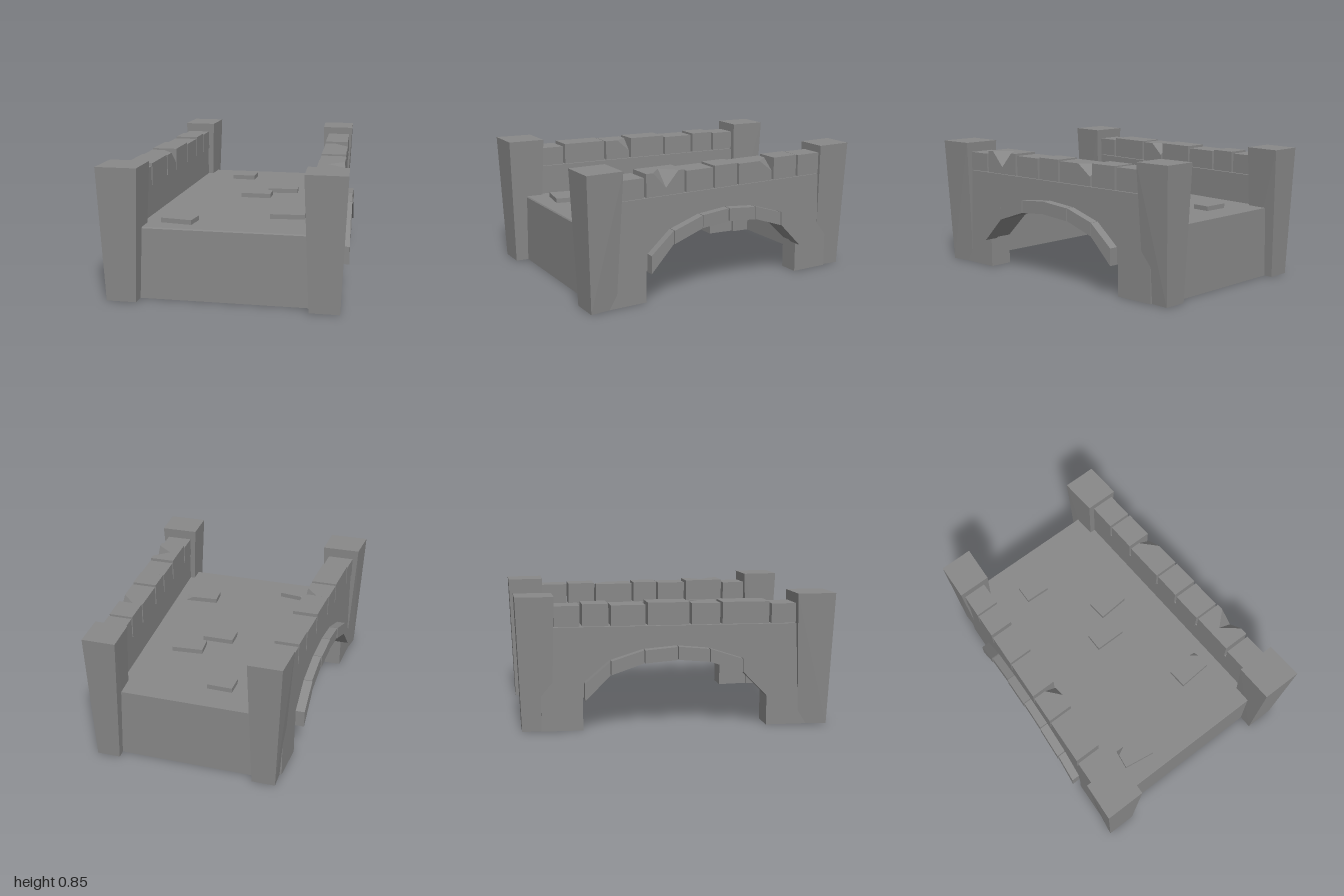
import * as THREE from 'three';
import { ConvexGeometry } from 'three/addons/geometries/ConvexGeometry.js';

const stone = new THREE.MeshStandardMaterial({ color: 0x888888, flatShading: true, side: THREE.DoubleSide });
const lerp = THREE.MathUtils.lerp;

// The bridge narrows towards the back: wall faces as a function of z
const innerX = (z) => 0.506 + 0.046 * z;
const outerX = (z) => 0.653 + 0.06 * z;

function addMesh(parent, name, geometry) {
  const mesh = new THREE.Mesh(geometry, stone);
  mesh.name = name;
  parent.add(mesh);
  return mesh;
}

// Removes the triangles lying flat at height y, leaving the part open below
function openBottom(geometry, y) {
  const p = geometry.attributes.position;
  const kept = [];
  for (let i = 0; i < p.count; i += 3) {
    if ([0, 1, 2].every((k) => Math.abs(p.getY(i + k) - y) < 1e-4)) continue;
    for (let k = 0; k < 3; k++) kept.push(p.getX(i + k), p.getY(i + k), p.getZ(i + k));
  }
  const open = new THREE.BufferGeometry();
  open.setAttribute('position', new THREE.Float32BufferAttribute(kept, 3));
  open.computeVertexNormals();
  return open;
}

// Block between two x-curves; an optional chip cuts one top corner off
// chip: { x: 0|1, z: 0|1, cut: [dx, dy, dz] }
function block(z0, z1, y0, y1, xa, xb, chip) {
  const points = [];
  [z0, z1].forEach((z, zi) => [xa(z), xb(z)].forEach((x, xi) => {
    points.push(new THREE.Vector3(x, y0, z));
    if (chip && chip.x === xi && chip.z === zi) {
      const [dx, dy, dz] = chip.cut;
      const zn = z + Math.sign(z1 - z0) * (zi ? -dz : dz);
      const xn = x + Math.sign(xb(z) - xa(z)) * (xi ? -dx : dx);
      points.push(new THREE.Vector3(xn, y1, z), new THREE.Vector3(x, y1 - dy, z),
        new THREE.Vector3((xi ? xb : xa)(zn), y1, zn));
    } else points.push(new THREE.Vector3(x, y1, z));
  }));
  return new ConvexGeometry(points);
}

// Road surface with front and back walls, open below and at the sides
function roadGeometry() {
  const profile = [[0, 0.884], [0.452, 0.884], [0.46, 0.879], [0.46, -0.912], [0, -0.912]];
  const position = [];
  const index = [];
  profile.forEach(([y, z], i) => {
    const w = innerX(z) + 0.03;
    position.push(-w, y, z, w, y, z);
    if (i) {
      const a = 2 * i - 2;
      index.push(a, a + 1, a + 3, a, a + 3, a + 2);
    }
  });
  const g = new THREE.BufferGeometry();
  g.setAttribute('position', new THREE.Float32BufferAttribute(position, 3));
  g.setIndex(index);
  const flat = g.toNonIndexed();
  flat.computeVertexNormals();
  return flat;
}

// Arch line as [z, lower y, upper y]
const arch = [[0.575, 0.195, 0.31], [0.41, 0.36, 0.445], [0.2, 0.43, 0.512], [0, 0.447, 0.53],
  [-0.21, 0.43, 0.512], [-0.42, 0.36, 0.447], [-0.585, 0.2, 0.31]];

// Side wall: arched outline, extruded and bent to the taper of the bridge
function wallGeometry(side) {
  const shape = new THREE.Shape();
  shape.moveTo(-0.85, 0);
  shape.lineTo(-0.58, 0);
  arch.forEach(([z, y], i) => shape.lineTo(i === 0 ? -0.58 : i === 6 ? 0.59 : -z, y + 0.006));
  shape.lineTo(0.59, 0);
  shape.lineTo(0.85, 0);
  shape.lineTo(0.85, 0.656);
  shape.lineTo(-0.85, 0.656);
  const g = new THREE.ExtrudeGeometry(shape, { depth: 1, bevelEnabled: false });
  const p = g.attributes.position;
  for (let i = 0; i < p.count; i++) {
    const z = -p.getX(i);
    const t = side > 0 ? p.getZ(i) : 1 - p.getZ(i);
    p.setXYZ(i, side * lerp(innerX(z), outerX(z), t), p.getY(i), z);
  }
  return openBottom(g, 0);
}

// Corner post flaring upwards; each level is [y, four x/z corners]
function postGeometry(side, levels) {
  const points = levels.flatMap(([y, ...corners]) =>
    corners.map(([x, z]) => new THREE.Vector3(side * x, y, z)));
  return openBottom(new ConvexGeometry(points), 0);
}
const frontPost = [
  [0, [0.535, 0.97], [0.725, 0.97], [0.695, 0.79], [0.53, 0.79]],
  [0.85, [0.503, 1], [0.762, 1], [0.745, 0.757], [0.493, 0.757]],
];
const backPost = [
  [0, [0.44, -0.97], [0.59, -0.97], [0.588, -0.785], [0.447, -0.785]],
  [0.85, [0.41, -1], [0.624, -1], [0.638, -0.762], [0.425, -0.762]],
];

// Parapet stones: joint positions along z, top heights and chipped corners
const parapets = [
  { side: 1, joints: [0.765, 0.59, 0.302, 0.09, -0.097, -0.376, -0.578, -0.77],
    tops: [0.785, 0.807, 0.795, 0.803, 0.796, 0.806, 0.802],
    chips: { 4: { x: 1, z: 1, cut: [0.09, 0.075, 0.1] } }, notched: 1 },
  { side: -1, joints: [0.765, 0.593, 0.28, 0.085, -0.19, -0.42, -0.597, -0.77],
    tops: [0.785, 0.8, 0.795, 0.803, 0.79, 0.8, 0.79],
    chips: { 2: { x: 0, z: 1, cut: [0.08, 0.08, 0.09] } }, notched: -1 },
];

function addParapet(parent, { side, joints, tops, chips, notched }) {
  const xa = (z) => side * (innerX(z) - 0.008);
  const xb = (z) => side * (outerX(z) + 0.008);
  tops.forEach((top, i) => {
    const z0 = joints[i] - 0.008;
    const z1 = joints[i + 1] + 0.008;
    if (i === notched) {
      // two halves meeting at a V-shaped notch in the outer edge
      const chip = (z) => ({ x: 1, z, cut: [0.105, 0.1, 0.09] });
      addMesh(parent, 'notchedParapetStone', block(z0, 0.443, 0.661, top, xa, xb, chip(1)));
      addMesh(parent, 'notchedParapetStone', block(0.443, z1, 0.661, top, xa, xb, chip(0)));
    } else addMesh(parent, 'parapetStone', block(z0, z1, 0.661, top, xa, xb, chips[i]));
  });
}

// Raised paving stones: x, z, width, depth, turn, chipped corner
const paving = [
  [-0.157, -0.66, 0.165, 0.118, -0.03],
  [0.197, -0.262, 0.207, 0.132, 0.08],
  [0.037, -0.077, 0.205, 0.118, 0],
  [0.335, 0.47, 0.222, 0.128, 0.07, { x: 1, z: 0, cut: [0.045, 0.025, 0.04] }],
  [-0.317, 0.703, 0.205, 0.128, -0.15, { x: 0, z: 0, cut: [0.05, 0.025, 0.035] }],
];

export function createModel() {
  const bridge = new THREE.Group();
  bridge.name = 'stoneBridge';

  addMesh(bridge, 'road', roadGeometry());

  for (const [x, z, w, d, turn, chip] of paving) {
    const g = block(-d / 2, d / 2, 0.44, 0.49, () => -w / 2, () => w / 2, chip);
    const mesh = addMesh(bridge, 'pavingStone', openBottom(g, 0.44));
    mesh.position.set(x, 0, z);
    mesh.rotation.y = turn;
  }

  for (const parapet of parapets) {
    const { side } = parapet;
    const half = new THREE.Group();
    half.name = side > 0 ? 'leftSide' : 'rightSide';
    bridge.add(half);
    addMesh(half, 'archedWall', wallGeometry(side));
    addMesh(half, 'frontPost', postGeometry(side, frontPost));
    addMesh(half, 'backPost', postGeometry(side, backPost));
    addParapet(half, parapet);

    // Arch stones standing proud of the wall
    for (let i = 0; i < arch.length - 1; i++) {
      const points = [arch[i], arch[i + 1]].flatMap(([z, low, high], end) => [low, high].flatMap((y) => {
        const zz = z + (end ? 0.003 : -0.003);
        const proud = 0.054 + (i % 2) * 0.004;
        return [-0.04, proud].map((dx) => new THREE.Vector3(side * (outerX(z) + dx), y, zz));
      }));
      addMesh(half, 'archStone', new ConvexGeometry(points));
    }
  }
  return bridge;
}
